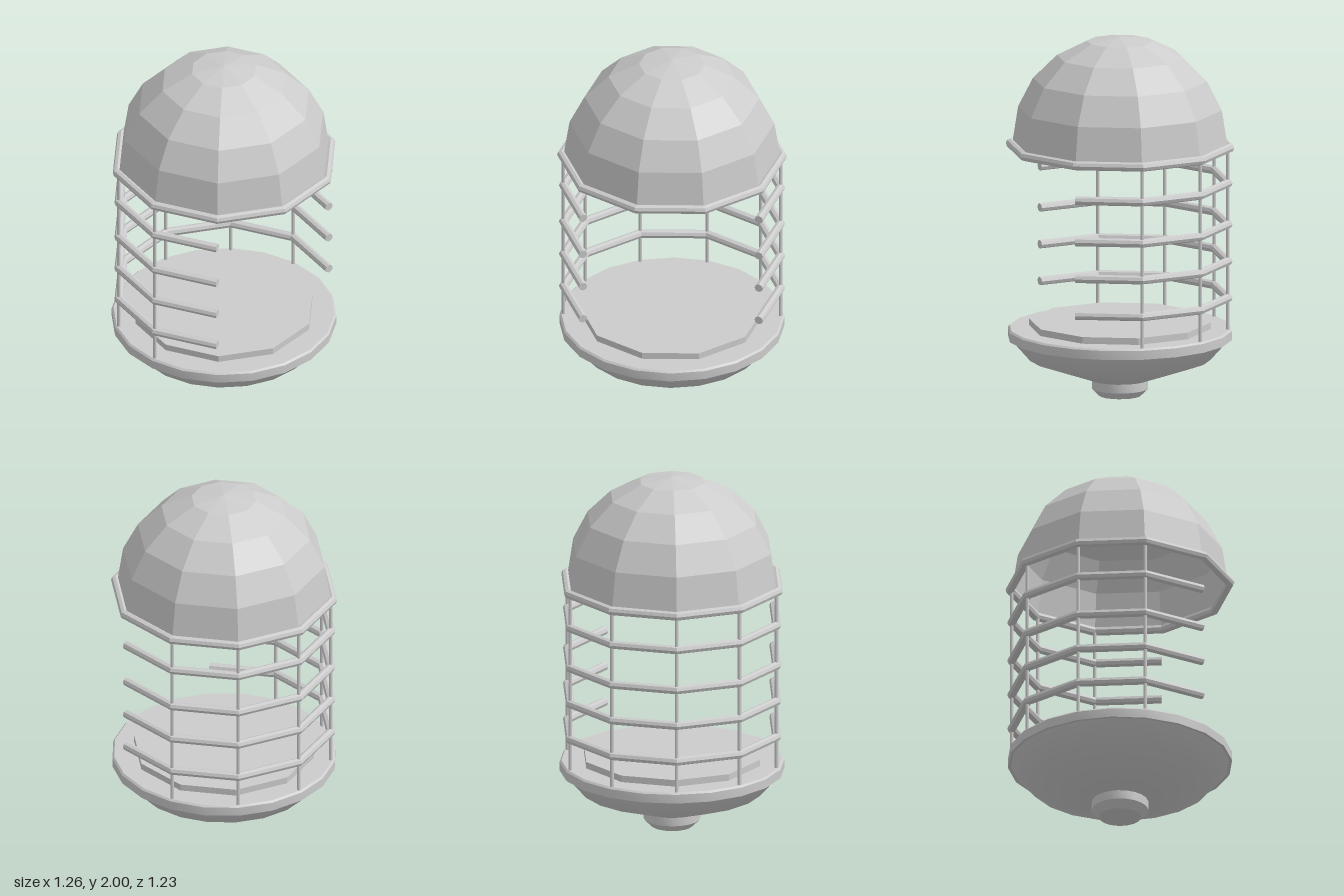
import * as THREE from 'three';
import { mergeGeometries, toCreasedNormals } from 'three/addons/utils/BufferGeometryUtils.js';

const RAD = Math.PI / 180;
const STEP = 36;              // cage and dome are ten-sided
const CAGE_R = 0.593;
const smooth = new THREE.MeshStandardMaterial({ color: 0xcccccc });
const faceted = new THREE.MeshStandardMaterial({ color: 0xcccccc, flatShading: true });
const shell = new THREE.MeshStandardMaterial({ color: 0xcccccc, flatShading: true, side: THREE.DoubleSide });

function add(parent, name, geometry, material, y = 0) {
  const mesh = new THREE.Mesh(geometry, material);
  mesh.name = name;
  mesh.position.y = y;
  parent.add(mesh);
  return mesh;
}

// Profile of [radius, height] pairs, bottom to top, with a corner on the x axis
function lathe(profile, sides) {
  const points = profile.map(([r, y]) => new THREE.Vector2(r, y));
  return new THREE.LatheGeometry(points, sides, Math.PI / 2);
}

// Open hoop of straight mitred bars, cut square and capped at both ends
function openHoop(radius, tube, startDeg, bars) {
  const sides = 8;
  const geometry = new THREE.TorusGeometry(radius, tube, sides, bars, bars * STEP * RAD);
  const pos = geometry.attributes.position;
  const half = STEP / 2;
  const caps = [];
  for (let i = 0; i <= bars; i++) {
    const at = (startDeg + i * STEP) * RAD;
    const turn = i === 0 ? half : i === bars ? -half : 0;
    const cut = at + turn * RAD;
    const width = turn ? tube : tube / Math.cos(half * RAD);
    const cx = radius * Math.cos(at), cz = radius * Math.sin(at);
    for (let j = 0; j <= sides; j++) {
      const a = (j / sides) * Math.PI * 2;
      const out = width * Math.cos(a);
      pos.setXYZ(j * (bars + 1) + i, cx + out * Math.cos(cut), -tube * Math.sin(a), cz + out * Math.sin(cut));
    }
    if (turn) {
      const s = Math.sign(turn);
      const cap = new THREE.CircleGeometry(tube, sides);
      cap.rotateY(Math.atan2(s * Math.sin(cut), -s * Math.cos(cut)));
      caps.push(cap.translate(cx, 0, cz));
    }
  }
  return mergeGeometries([geometry, ...caps]);
}

export function createModel() {
  const model = new THREE.Group();
  model.name = 'domedCage';

  // Dish-shaped base with a small foot
  const baseProfile = [
    [0, 0], [0.115, 0], [0.155, 0.04], [0.155, 0.09], [0.16, 0.09], [0.5, 0.21],
    [0.597, 0.32], [0.615, 0.32], [0.615, 0.37], [0.605, 0.38], [0, 0.38],
  ];
  add(model, 'base', toCreasedNormals(lathe(baseProfile, 20), 34 * RAD), smooth);

  // Raised floor plate
  add(model, 'floorPlate', lathe([[0.5, 0.375], [0.5, 0.417], [0, 0.417]], 10), faceted);

  // Upright posts, leaving the doorway clear
  const posts = new THREE.Group();
  posts.name = 'posts';
  for (let deg = 108; deg <= 288; deg += STEP) {
    const post = add(posts, 'post', new THREE.CylinderGeometry(0.01, 0.01, 1.03, 8), smooth, 0.885);
    post.position.x = CAGE_R * Math.cos(deg * RAD);
    post.position.z = CAGE_R * Math.sin(deg * RAD);
  }
  model.add(posts);

  // Horizontal hoops, open at the doorway
  const hoops = new THREE.Group();
  hoops.name = 'hoops';
  const hoop = openHoop(CAGE_R, 0.024, 72, 7);
  for (const y of [0.555, 0.76, 0.965, 1.195]) add(hoops, 'hoop', hoop, faceted, y);
  model.add(hoops);

  // Closed rim under the dome
  const rim = new THREE.TorusGeometry(0.603, 0.025, 8, 10).rotateX(Math.PI / 2);
  add(model, 'rim', rim, faceted, 1.392);

  // Hollow faceted dome
  const domeProfile = [[0.592, 1.395], [0.56, 1.6], [0.478, 1.76], [0.347, 1.89], [0.18, 1.974], [0, 2]];
  add(model, 'dome', lathe(domeProfile, 10), shell);

  return model;
}
